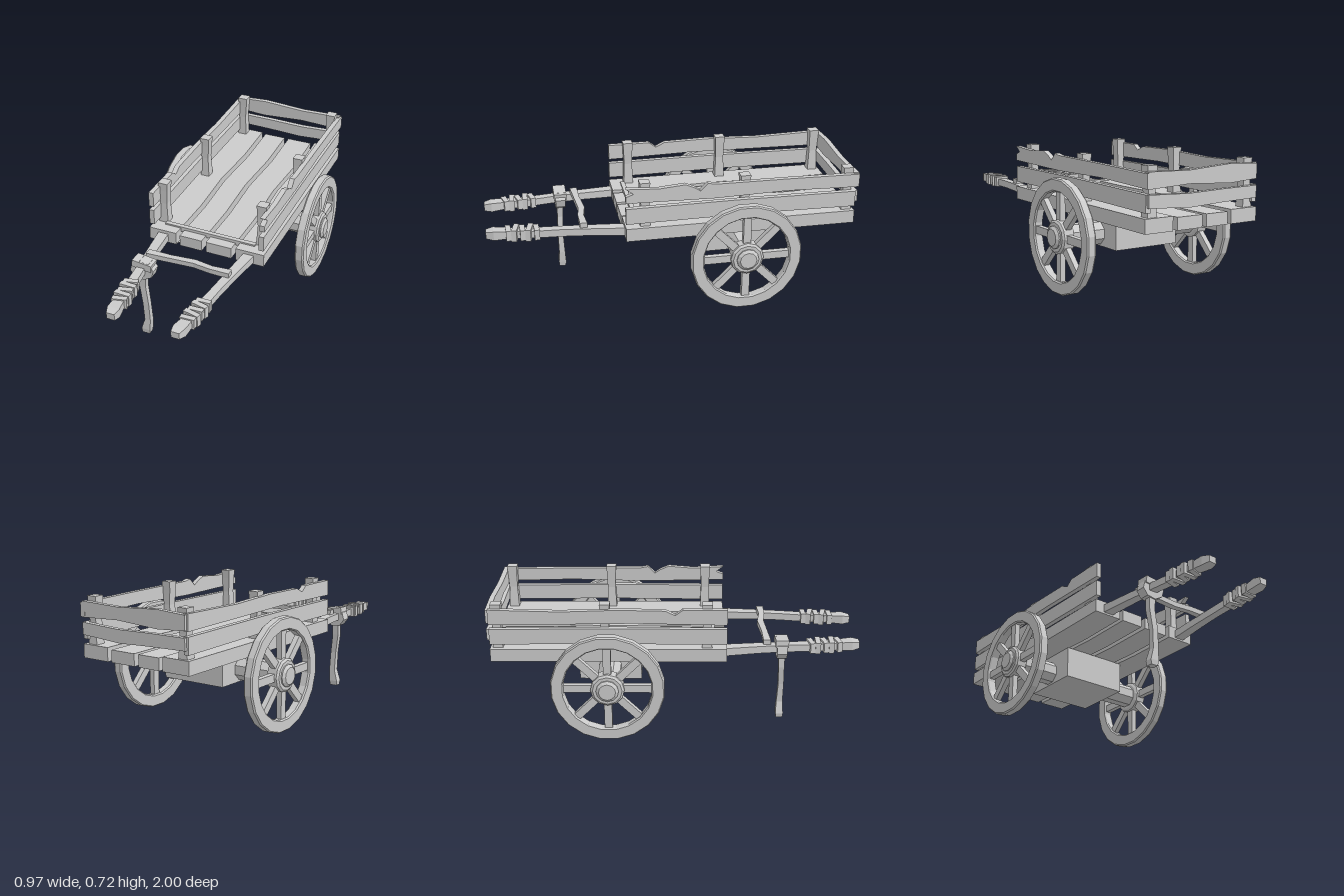
import * as THREE from 'three';

const mat = new THREE.MeshStandardMaterial({ color: 0xcccccc, flatShading: true });

function add(parent, name, geo, x = 0, y = 0, z = 0) {
  const m = new THREE.Mesh(geo, mat);
  m.name = name;
  m.position.set(x, y, z);
  parent.add(m);
  return m;
}

const box = (w, h, d) => new THREE.BoxGeometry(w, h, d);

// Flat outline (list of [u, v]) given a thickness, centred on its own depth
function slab(pts, thick) {
  const shape = new THREE.Shape(pts.map(p => new THREE.Vector2(p[0], p[1])));
  const g = new THREE.ExtrudeGeometry(shape, { depth: thick, bevelEnabled: false });
  return g.translate(0, 0, -thick / 2);
}

// Four-sided bar lofted through stations [x, y, z, width, height].
// Along z the section lies in x/y; when upright it lies in x/z.
function bar(stations, axis = 'z') {
  const pos = [], idx = [], n = stations.length;
  const corners = [[-1, -1], [1, -1], [1, 1], [-1, 1]];
  for (const [x, y, z, w, h] of stations)
    for (const [a, b] of corners) {
      if (axis === 'z') pos.push(x + a * w / 2, y + b * h / 2, z);
      else if (axis === 'y') pos.push(x + a * w / 2, y, z - b * h / 2);
      else pos.push(x, y + b * h / 2, z - a * w / 2);
    }
  for (let i = 0; i < n - 1; i++)
    for (let k = 0; k < 4; k++) {
      const a = i * 4 + k, b = i * 4 + (k + 1) % 4;
      idx.push(a, b, b + 4, a, b + 4, a + 4);
    }
  const e = (n - 1) * 4;
  idx.push(0, 2, 1, 0, 3, 2, e, e + 1, e + 2, e, e + 2, e + 3);
  const g = new THREE.BufferGeometry();
  g.setAttribute('position', new THREE.Float32BufferAttribute(pos, 3));
  g.setIndex(idx);
  const flat = g.toNonIndexed();
  flat.computeVertexNormals();
  return flat;
}

function makeWheel(side) {
  const wheel = new THREE.Group();
  wheel.name = side > 0 ? 'leftWheel' : 'rightWheel';
  // Rim ring
  const ring = (r, n) => Array.from({ length: n }, (_, i) => {
    const a = (i + 0.5) / n * Math.PI * 2;
    return new THREE.Vector2(r * Math.cos(a), r * Math.sin(a));
  });
  const rimShape = new THREE.Shape(ring(0.303, 20));
  rimShape.holes.push(new THREE.Path(ring(0.235, 20)));
  const rim = new THREE.ExtrudeGeometry(rimShape, {
    depth: 0.036, bevelEnabled: true, bevelThickness: 0.008, bevelSize: 0.006, bevelOffset: -0.006, bevelSegments: 1,
  });
  add(wheel, 'rim', rim.translate(0, 0, -0.018));
  // Eight spokes
  for (let i = 0; i < 8; i++) {
    const spoke = box(0.18, 0.042, 0.03).translate(0.16, 0, 0).rotateZ(i * Math.PI / 4);
    add(wheel, 'spoke', spoke);
  }
  // Hub with stepped, tapered cap
  const profile = [[0, -0.037], [0.075, -0.037], [0.09, -0.028], [0.09, 0.028], [0.078, 0.037],
    [0.06, 0.037], [0.06, 0.044], [0.045, 0.056], [0, 0.056]].map(p => new THREE.Vector2(...p));
  add(wheel, 'hub', new THREE.LatheGeometry(profile, 12).rotateX(Math.PI / 2));
  wheel.rotation.y = side * Math.PI / 2;
  wheel.position.set(side * 0.427, 0.305, -0.355);
  return wheel;
}

export function createModel() {
  const cart = new THREE.Group();
  cart.name = 'handcart';

  // Bed planks with worn edges, drawn in x / z and laid flat
  const bed = new THREE.Group();
  bed.name = 'bed';
  cart.add(bed);
  const planks = [
    [-0.328, -0.168, 0.072, 0.446, 0], [-0.146, -0.012, 0.064, 0.442, 1],
    [0.010, 0.162, 0.064, 0.442, 1], [0.184, 0.345, 0.072, 0.446, 0],
  ];
  planks.forEach(([x0, x1, t, y, inner], i) => {
    const wob = [0, 0.006, -0.008, 0.008, 0];
    const z = k => 0.275 - k * 0.314;
    const left = wob.map((d, k) => [x0 + (i ? d : 0), -z(k)]);
    const right = wob.map((d, k) => [x1 + (i < 3 ? d - 0.004 * inner : 0), -z(k)]).reverse();
    const g = slab([...left, ...right].reverse(), t).rotateX(-Math.PI / 2);
    add(bed, 'bedPlank', g, 0, y, 0);
  });
  add(bed, 'frontCleat', box(0.53, 0.03, 0.025), 0.005, 0.476, 0.205);

  // Corner and middle posts
  for (const [x, s] of [[-0.28, -1], [0.295, 1]])
    for (const z of [-0.94, -0.37, 0.17])
      add(cart, s > 0 ? 'leftPost' : 'rightPost', bar([
        [x, 0.47, z, 0.055, 0.055], [x, 0.6, z, 0.04, 0.045],
        [x, 0.68, z, 0.05, 0.05], [x, 0.727, z, 0.055, 0.055]], 'y'));

  // Side rails: outline in (-z, y), thickness across x
  const upperLeft = [[-0.275, 0.63], [0.2, 0.622], [0.6, 0.632], [0.995, 0.622], [0.995, 0.695], [0.6, 0.7],
    [0.2, 0.702], [0.16, 0.71], [0.12, 0.67], [0.09, 0.69], [0.04, 0.712], [-0.1, 0.7], [-0.275, 0.71],
    [-0.235, 0.68], [-0.275, 0.665]];
  const upperRight = [[-0.275, 0.62], [0.2, 0.63], [0.98, 0.62], [0.98, 0.705], [0.6, 0.695], [0.3, 0.705],
    [0.05, 0.7], [0.0, 0.675], [-0.04, 0.705], [-0.275, 0.705]];
  const lower = [[-0.275, 0.508], [0.4, 0.514], [0.98, 0.508], [0.98, 0.595], [0.3, 0.6], [-0.275, 0.596]];
  const rail = (name, pts, x) => add(cart, name, slab(pts, 0.028).rotateY(Math.PI / 2), x, 0, 0);
  rail('leftUpperRail', upperLeft, 0.331);
  rail('leftLowerRail', lower, 0.328);
  rail('rightUpperRail', upperRight, -0.311);
  rail('rightLowerRail', lower, -0.311);

  // Tailboards with wavy edges
  const tail = (name, pts) => add(cart, name, slab(pts, 0.028), 0, 0, -0.98);
  tail('upperTailboard', [[-0.315, 0.625], [-0.15, 0.615], [0.1, 0.63], [0.335, 0.62],
    [0.335, 0.702], [0.1, 0.695], [-0.15, 0.71], [-0.315, 0.7]]);
  tail('lowerTailboard', [[-0.315, 0.53], [-0.1, 0.525], [0.09, 0.517], [0.335, 0.532],
    [0.335, 0.595], [0.1, 0.585], [-0.1, 0.59], [-0.315, 0.592]]);

  // Axle and the block that carries it
  add(cart, 'axleBlock', box(0.378, 0.175, 0.34), 0.011, 0.3225, -0.355);
  const axle = new THREE.CylinderGeometry(0.064, 0.064, 0.82, 8).rotateY(Math.PI / 8).rotateZ(Math.PI / 2);
  axle.rotateX(0);
  add(cart, 'axle', axle, 0, 0.305, -0.355);
  cart.add(makeWheel(1), makeWheel(-1));

  // Pull shafts with wrapped grips
  for (const s of [-1, 1]) {
    const name = s > 0 ? 'left' : 'right';
    const o = s > 0 ? 0.012 : 0;
    const px = z => s * (0.245 - (z - 0.28) * 0.105) + o;
    add(cart, name + 'Shaft', bar([
      [px(0.2), 0.44, 0.2, 0.062, 0.045], [px(0.45), 0.445, 0.45, 0.052, 0.04],
      [px(0.6), 0.445, 0.6, 0.046, 0.04], [px(0.75), 0.442, 0.75, 0.05, 0.04],
      [px(0.88), 0.445, 0.88, 0.054, 0.042], [px(0.96), 0.445, 0.96, 0.066, 0.05],
      [px(1.0), 0.445, 1.0, 0.045, 0.036]]));
    for (let i = 0; i < 5; i++) {
      const z = 0.735 + i * 0.037;
      const wrap = add(cart, name + 'GripWrap', box(0.078 + (i % 2) * 0.01, 0.058 + (i % 2) * 0.006, 0.028), px(z), 0.445, z);
      wrap.rotation.y = (i % 2 ? -0.12 : 0.14) - s * 0.1;
    }
  }

  // Crossbar resting on the shafts
  add(cart, 'crossbar', bar([
    [-0.225, 0.477, 0.495, 0.04, 0.03], [-0.1, 0.477, 0.49, 0.032, 0.028],
    [0.04, 0.477, 0.478, 0.036, 0.028], [0.14, 0.477, 0.492, 0.032, 0.028],
    [0.245, 0.477, 0.488, 0.04, 0.03]], 'x'));

  // Prop leg and its lashing
  add(cart, 'propLeg', bar([
    [-0.205, 0.018, 0.578, 0.042, 0.036], [-0.205, 0.045, 0.578, 0.05, 0.042],
    [-0.193, 0.11, 0.578, 0.034, 0.034], [-0.197, 0.22, 0.582, 0.034, 0.03],
    [-0.212, 0.33, 0.578, 0.036, 0.032], [-0.205, 0.49, 0.578, 0.044, 0.036]], 'y'));
  const lash = new THREE.CylinderGeometry(0.062, 0.062, 0.055, 8).rotateX(Math.PI / 2).scale(1.12, 0.92, 1);
  add(cart, 'lashing', lash, -0.207, 0.442, 0.575).rotation.z = 0.2;
  const band = add(cart, 'lashingBand', box(0.11, 0.04, 0.07), -0.205, 0.475, 0.575);
  band.rotation.z = -0.12;

  return cart;
}
